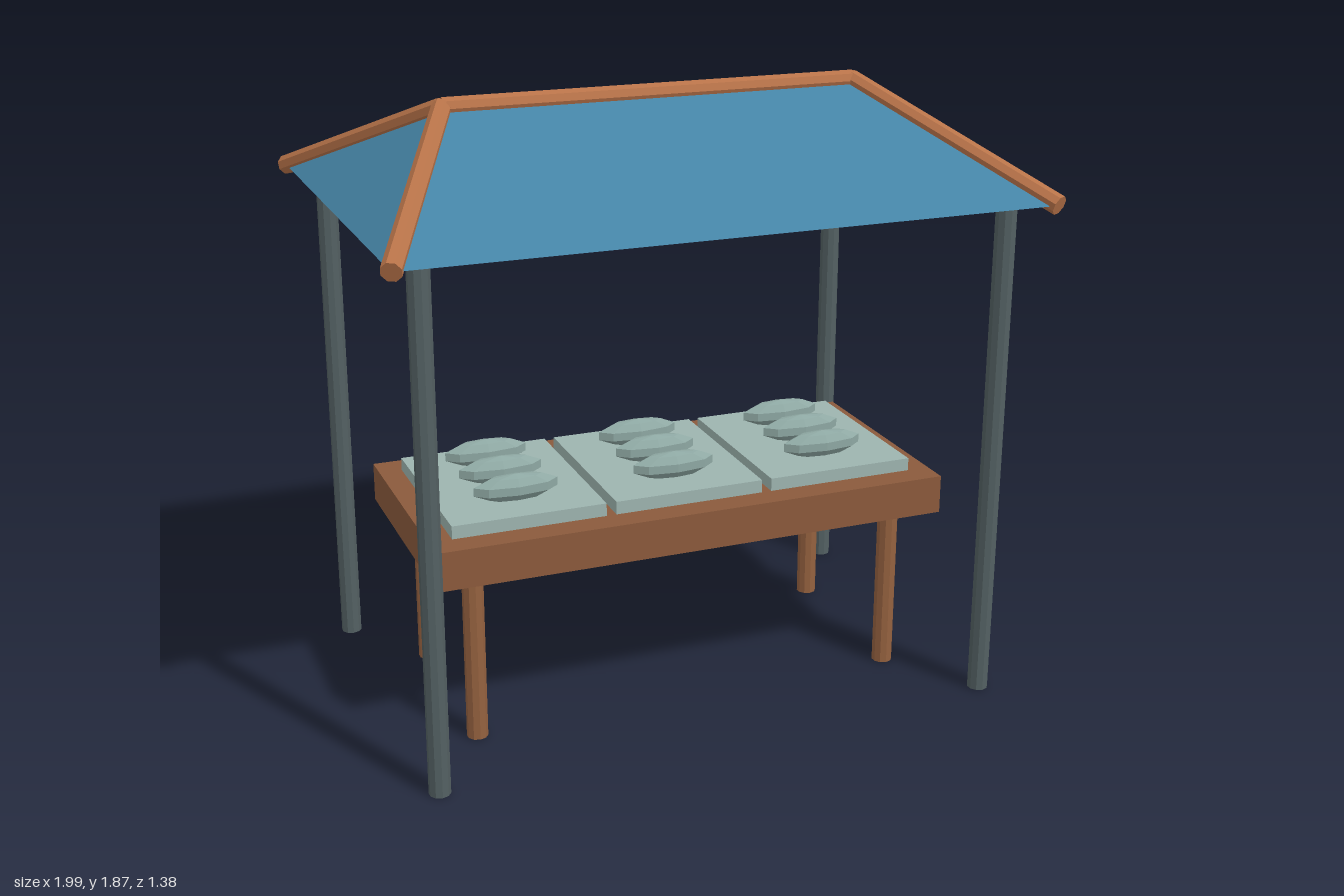
import * as THREE from 'three';

const mat = (name, color, flat = true) => {
  const m = new THREE.MeshStandardMaterial({ color, flatShading: flat });
  m.name = name;
  return m;
};

export function createModel() {
  const root = new THREE.Group();
  root.name = 'marketStall';
  const canvas = mat('blueCanvas', 0x4584a6);
  const beamWood = mat('lightWood', 0xb87349);
  const tableWood = mat('tableWood', 0x8b5a3c);
  const legWood = mat('legWood', 0x94613f);
  const metal = mat('greyMetal', 0x536062);
  const ice = mat('paleIce', 0x9db4af);
  const scales = mat('fishScales', 0x8ea8a3);

  const add = (name, geo, material, x = 0, y = 0, z = 0) => {
    const m = new THREE.Mesh(geo, material);
    m.name = name;
    m.position.set(x, y, z);
    root.add(m);
    return m;
  };

  // Round pole between two points
  const beam = (name, a, b, r) => {
    const dir = b.clone().sub(a);
    const m = add(name, new THREE.CylinderGeometry(r, r, dir.length(), 8), beamWood);
    m.position.copy(a).lerp(b, 0.5);
    m.quaternion.setFromUnitVectors(new THREE.Vector3(0, 1, 0), dir.normalize());
  };

  // Hipped canopy, closed underneath
  const X = 0.97, Z = 0.677, Y = 1.565, RX = 0.645, RY = 1.838;
  const roof = new THREE.BufferGeometry();
  roof.setAttribute('position', new THREE.Float32BufferAttribute([
    -X, Y, Z, X, Y, Z, X, Y, -Z, -X, Y, -Z, -RX, RY, 0, RX, RY, 0], 3));
  roof.setIndex([0, 1, 5, 0, 5, 4, 2, 3, 4, 2, 4, 5, 1, 2, 5, 3, 0, 4, 0, 3, 2, 0, 2, 1]);
  const canopy = roof.toNonIndexed();
  canopy.computeVertexNormals();
  add('canopy', canopy, canvas);

  // Ridge and hip poles
  const v = (x, y, z) => new THREE.Vector3(x, y, z);
  beam('ridgePole', v(-RX, RY, 0), v(RX, RY, 0), 0.03);

  for (const sx of [-1, 1]) for (const sz of [-1, 1]) {
    beam('hipPole', v(sx * X, Y, sz * Z), v(sx * RX, RY, 0), 0.03);
    add('canopyPost', new THREE.CylinderGeometry(0.032, 0.032, Y, 10), metal,
      sx * 0.872, Y / 2, sz * 0.557);
    add('tableLeg', new THREE.CylinderGeometry(0.032, 0.032, 0.54, 10), legWood,
      sx * 0.68, 0.27, sz * 0.28);
  }

  // Table top
  add('tableTop', new THREE.BoxGeometry(1.62, 0.12, 0.75), tableWood, 0, 0.59, 0);

  // Ice trays, each with three fish
  const fishGeo = new THREE.SphereGeometry(0.044, 8, 5).scale(3.1, 0.95, 1);
  for (const x of [-0.503, 0, 0.503]) {
    add('iceTray', new THREE.BoxGeometry(0.472, 0.042, 0.584), ice, x, 0.669, 0);
    for (const z of [-0.155, 0, 0.155]) add('fish', fishGeo, scales, x, 0.727, z);
  }
  return root;
}
